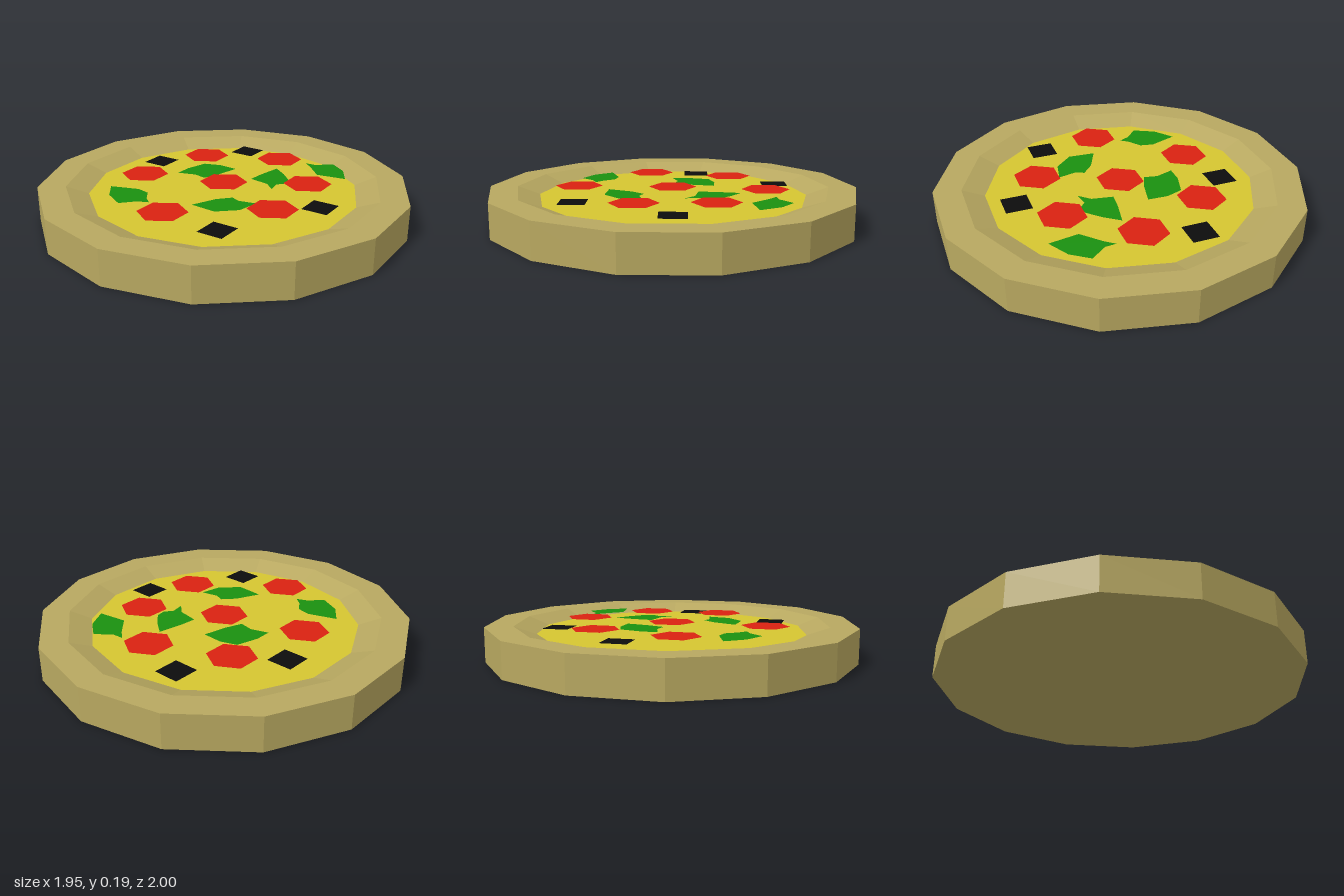
import * as THREE from 'three';

const SIDES = 14;
const CHEESE_Y = 0.143, OLIVE_Y = 0.165, LEAF_Y = 0.178, SALAMI_Y = 0.187;

const paint = (color) => new THREE.MeshStandardMaterial({ color, flatShading: true, side: THREE.DoubleSide });

// Flat regular polygon lying face up
function disc(radius, sides, start) {
  return new THREE.CircleGeometry(radius, sides, start).rotateX(-Math.PI / 2);
}

// Flat outline of [x, z] corners lying face up
function leafShape(corners) {
  const shape = new THREE.Shape(corners.map(([x, z]) => new THREE.Vector2(x, -z)));
  return new THREE.ShapeGeometry(shape).rotateX(-Math.PI / 2);
}

export function createModel() {
  const model = new THREE.Group();
  model.name = 'pizza';

  const add = (name, geometry, material, x = 0, y = 0, z = 0) => {
    const mesh = new THREE.Mesh(geometry, material);
    mesh.name = name;
    mesh.position.set(x, y, z);
    model.add(mesh);
  };

  // Crust: closed base, upright wall, flat rim and sloping inner edge
  const profile = [[0, 0], [1, 0], [1, 0.187], [0.85, 0.187], [0.73, CHEESE_Y]];
  const crust = new THREE.LatheGeometry(profile.map(([r, y]) => new THREE.Vector2(r, y)), SIDES);
  add('crust', crust, paint(0xb8a860));

  // Cheese
  add('cheese', disc(0.73, SIDES, Math.PI / 2), paint(0xd6c631), 0, CHEESE_Y, 0);

  // Square olive pieces
  const olive = disc(0.1, 4, Math.PI / 4), black = paint(0x0c0c0c);
  [[-0.205, -0.575], [-0.535, -0.135], [0.58, -0.01], [0.3, 0.505]]
    .forEach(([x, z], i) => add(`olive${i + 1}`, olive, black, x, OLIVE_Y, z));

  // Basil leaves
  const green = paint(0x1a9010);
  [
    [[0.22, -0.54], [0.28, -0.545], [0.365, -0.61], [0.46, -0.54], [0.525, -0.425], [0.365, -0.4], [0.27, -0.5]],
    [[0.125, -0.365], [0.205, -0.305], [0.275, -0.235], [0.285, -0.18], [0.25, -0.14], [0.265, -0.065],
      [0.205, -0.12], [0.09, -0.14], [0.1, -0.235]],
    [[-0.27, -0.205], [-0.18, -0.235], [-0.07, -0.23], [-0.1, -0.1], [-0.135, -0.01], [-0.21, -0.025],
      [-0.305, 0.005], [-0.305, -0.085]],
    [[0.155, 0.15], [0.205, 0.17], [0.3, 0.15], [0.275, 0.27], [0.18, 0.355], [0.035, 0.345], [0.095, 0.215]],
    [[-0.48, 0.375], [-0.33, 0.325], [-0.255, 0.34], [-0.21, 0.405], [-0.165, 0.44], [-0.225, 0.465],
      [-0.29, 0.535], [-0.405, 0.475]],
  ].forEach((corners, i) => add(`basilLeaf${i + 1}`, leafShape(corners), green, 0, LEAF_Y, 0));

  // Hexagonal salami slices
  const salami = disc(0.13, 6, Math.PI / 2), red = paint(0xda2211);
  [[0, 0], [0.065, -0.5], [-0.335, -0.32], [0.395, -0.225], [-0.44, 0.135], [0.415, 0.185], [-0.02, 0.515]]
    .forEach(([x, z], i) => add(`salami${i + 1}`, salami, red, x, SALAMI_Y, z));

  return model;
}
